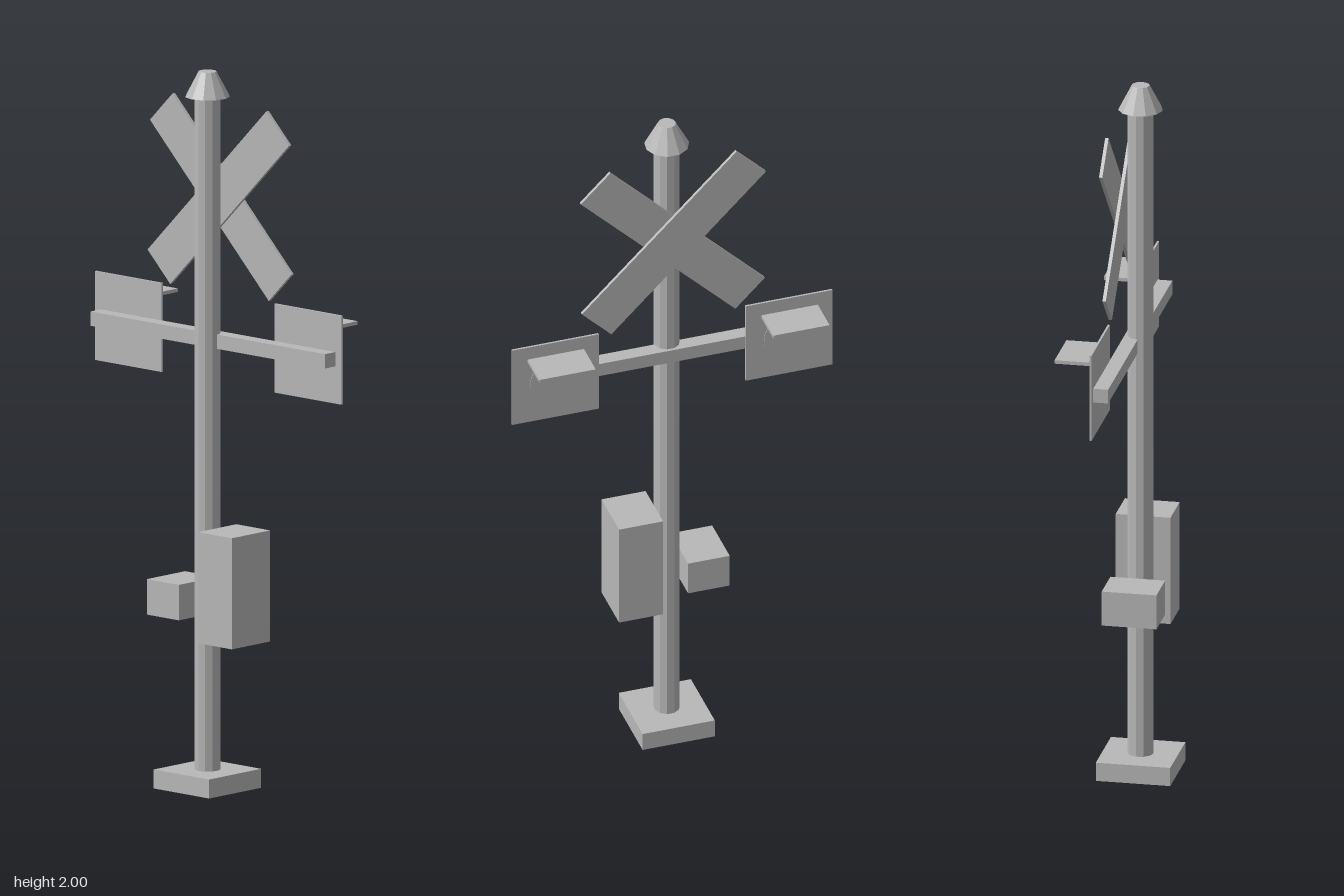
import * as THREE from 'three';

const grey = new THREE.MeshStandardMaterial({ color: 0xb8b8b8 });
grey.name = 'plain grey';
grey.flatShading = true;

const AXIS_Z = 0.025; // the pole stands slightly forward of the centre

export function createModel() {
  const model = new THREE.Group();
  model.name = 'crossingSignal';

  const add = (name, geometry, x, y, z, parent = model) => {
    const mesh = new THREE.Mesh(geometry, grey);
    mesh.name = name;
    mesh.position.set(x, y, z);
    parent.add(mesh);
    return mesh;
  };
  // Box given by its minimum and maximum corners
  const box = (name, a, b, parent) => add(
    name,
    new THREE.BoxGeometry(b[0] - a[0], b[1] - a[1], b[2] - a[2]),
    (a[0] + b[0]) / 2, (a[1] + b[1]) / 2, (a[2] + b[2]) / 2, parent,
  );

  // Foot, pole and tapered cap
  box('base', [-0.104, 0, -0.079], [0.104, 0.053, 0.129]);
  add('pole', new THREE.CylinderGeometry(0.036, 0.036, 1.88, 11), 0, 0.993, AXIS_Z);
  add('cap', new THREE.CylinderGeometry(0.025, 0.062, 0.07, 11), 0, 1.965, AXIS_Z);

  // Crossed boards on the back of the pole
  for (const [name, z, angle] of [
    ['frontCrossBoard', -0.023, Math.PI / 4],
    ['rearCrossBoard', -0.0325, -Math.PI / 4],
  ]) {
    const board = add(name, new THREE.BoxGeometry(0.63, 0.12, 0.0095), 0, 1.641, z);
    board.rotation.z = angle;
  }

  // Arm carrying the two lamps
  box('lampArm', [-0.44, 1.23, -0.018], [0.44, 1.27, 0.024]);
  for (const side of [-1, 1]) {
    const lamp = new THREE.Group();
    lamp.name = side > 0 ? 'leftLamp' : 'rightLamp';
    lamp.position.set(side * 0.337, 1.25, 0);
    model.add(lamp);
    box('lampPanel', [-0.125, -0.124, -0.0235], [0.125, 0.124, -0.0175], lamp);
    const lens = add('lampLens', new THREE.CylinderGeometry(0.073, 0.073, 0.004, 24), 0, 0, -0.0235, lamp);
    lens.rotation.x = Math.PI / 2;
    box('lampHood', [-0.081, 0.077, -0.13], [0.081, 0.087, -0.027], lamp);
  }

  // Equipment boxes beside the pole
  box('largeEquipmentBox', [0.036, 0.42, -0.052], [0.163, 0.73, 0.101]);
  box('smallEquipmentBox', [-0.156, 0.474, -0.052], [-0.036, 0.573, 0.101]);

  return model;
}
